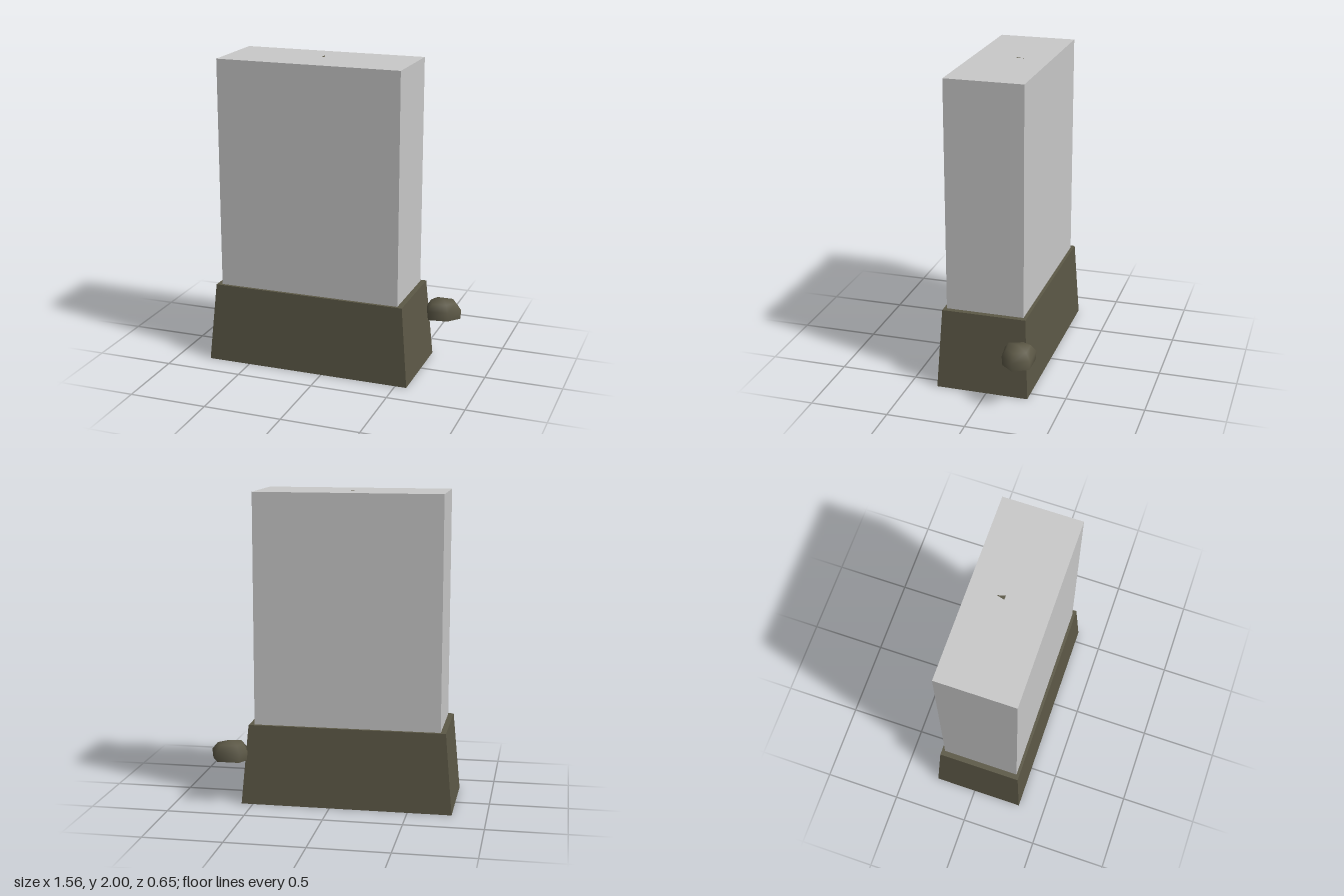
import * as THREE from 'three';

const olive = new THREE.MeshStandardMaterial({ color: 0x5c5846, side: THREE.DoubleSide });
olive.name = 'olive';
const grey = new THREE.MeshStandardMaterial({ color: 0xc9c9c9 });
grey.name = 'light grey';

function part(name, geometry, material) {
  const mesh = new THREE.Mesh(geometry, material);
  mesh.name = name;
  return mesh;
}

// Tapered skirt: a box with a narrower top and no underside
function taperedSkirt(width, depth, height, topX, topZ) {
  const g = new THREE.BoxGeometry(width, height, depth).translate(0, height / 2, 0);
  const p = g.attributes.position;
  for (let i = 0; i < p.count; i++) {
    if (p.getY(i) > height / 2) p.setXYZ(i, p.getX(i) * topX, height, p.getZ(i) * topZ);
  }
  const index = Array.from(g.index.array);
  index.splice(18, 6); // leave the bottom open
  g.setIndex(index);
  g.clearGroups();
  const flat = g.toNonIndexed();
  flat.computeVertexNormals();
  return flat;
}

// Rounded pebble: one irregular outline repeated at several heights, closed by an apex
function pebble(outline, rings, top) {
  const n = outline.length;
  const pos = [];
  const index = [];
  for (const [y, s] of rings) for (const [x, z] of outline) pos.push(x * s, y, z * s);
  const apex = pos.length / 3;
  pos.push(0, top, 0);
  for (let r = 0; r < rings.length; r++) {
    for (let i = 0; i < n; i++) {
      const a = r * n + i, b = r * n + (i + 1) % n;
      if (r === rings.length - 1) index.push(a, apex, b);
      else index.push(a, a + n, b, b, a + n, b + n);
    }
  }
  // flat underside with its own vertices
  const base = pos.length / 3;
  const [y0, s0] = rings[0];
  for (const [x, z] of outline) pos.push(x * s0, y0, z * s0);
  for (let i = 1; i < n - 1; i++) index.push(base, base + i, base + i + 1);
  const g = new THREE.BufferGeometry();
  g.setAttribute('position', new THREE.Float32BufferAttribute(pos, 3));
  g.setIndex(index);
  g.computeVertexNormals();
  return g;
}

export function createModel() {
  const model = new THREE.Group();
  model.name = 'slabOnBase';

  const skirt = part('base', taperedSkirt(1.355, 0.595, 0.517, 0.932, 0.908), olive);
  skirt.position.set(-0.103, 0, 0.027);
  model.add(skirt);

  // Upright slab, sunk part way into the hollow base
  const slab = part('slab', new THREE.BoxGeometry(1.194, 1.703, 0.5), grey);
  slab.position.set(-0.103, 1.1475, 0.028);
  model.add(slab);

  // Pebble at the back corner; outline runs clockwise seen from above, starting at +x
  const outline = [[0.125, 0.003], [0.054, 0.086], [-0.075, 0.103], [-0.117, -0.02], [-0.08, -0.097], [0.07, -0.097]];
  const stone = part('sidePebble', pebble(outline, [[0.286, 0.96], [0.345, 1], [0.39, 0.7]], 0.408), olive);
  stone.position.set(0.65, 0, -0.23);
  model.add(stone);

  // Tiny pointed mark on the slab's top
  const tip = new THREE.Shape([
    new THREE.Vector2(-0.013, 0), new THREE.Vector2(0.013, 0), new THREE.Vector2(0, 0.05),
  ]);
  const mark = part('topMark', new THREE.ShapeGeometry(tip).rotateX(-Math.PI / 2), olive);
  mark.position.set(-0.103, 2.001, 0);
  model.add(mark);

  return model;
}
